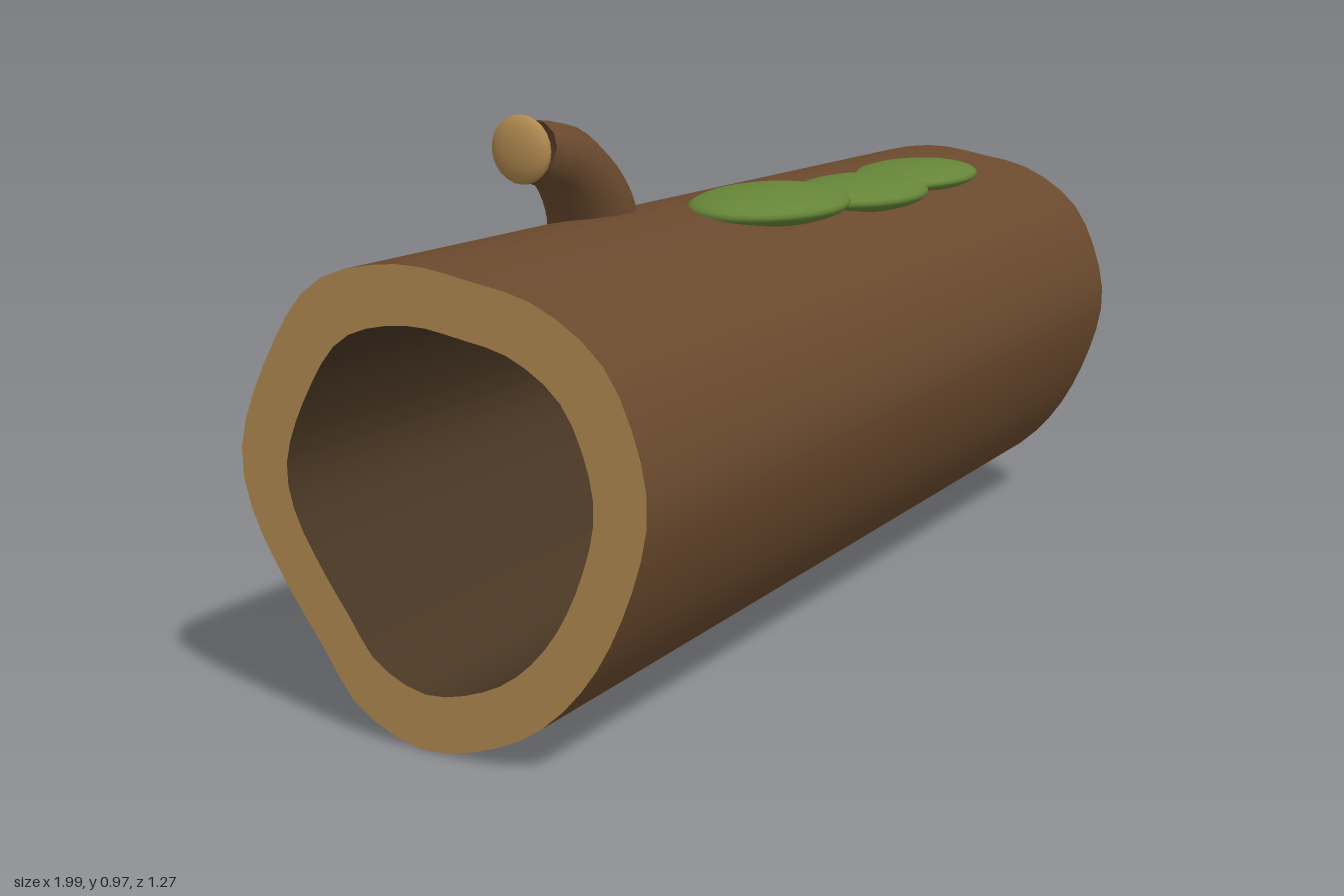
import * as THREE from 'three';

const mat = (color) => new THREE.MeshStandardMaterial({ color, roughness: 0.9 });
const TURN = 0.3; // the log lies turned about the vertical
const HALF = 0.925;
const SIDES = 48;

// Uneven cross-section of the trunk, unit size, counter-clockwise seen from +x
const outline = new THREE.CatmullRomCurve3([
  [1, 0.15], [0.83, 0.57], [0.58, 0.885], [0.16, 1], [-0.21, 0.965], [-0.505, 0.905],
  [-0.8, 0.715], [-0.95, 0.43], [-1, 0.15], [-0.9, -0.23], [-0.7, -0.59], [-0.41, -0.855],
  [0, -1], [0.19, -0.99], [0.44, -0.87], [0.6, -0.66], [0.78, -0.42], [0.96, -0.11],
].map(([u, v]) => new THREE.Vector3(0, v, -u)), true).getSpacedPoints(SIDES).slice(0, SIDES);

const ring = (x, r) => outline.map((p) => new THREE.Vector3(x, p.y * r, p.z * r));

// Skin between two rings of equal count
function loft(a, b) {
  const index = [];
  for (let i = 0; i < SIDES; i++) {
    const j = (i + 1) % SIDES;
    index.push(i, j, SIDES + i, j, SIDES + j, SIDES + i);
  }
  const g = new THREE.BufferGeometry().setFromPoints([...a, ...b]);
  g.setIndex(index);
  g.computeVertexNormals();
  return g;
}

// Tube whose radius runs from r0 to r1
function taperedTube(curve, r0, r1, steps, sides) {
  const g = new THREE.TubeGeometry(curve, steps, 1, sides);
  const pos = g.attributes.position;
  const v = new THREE.Vector3();
  for (let i = 0; i < pos.count; i++) {
    const t = Math.floor(i / (sides + 1)) / steps;
    const c = curve.getPointAt(t);
    v.fromBufferAttribute(pos, i).sub(c).multiplyScalar(r0 + (r1 - r0) * t).add(c);
    pos.setXYZ(i, v.x, v.y, v.z);
  }
  g.computeVertexNormals();
  // average the normals where the tube closes on itself
  const n = g.attributes.normal;
  const w = new THREE.Vector3();
  for (let k = 0; k <= steps; k++) {
    const a = k * (sides + 1), b = a + sides;
    v.fromBufferAttribute(n, a).add(w.fromBufferAttribute(n, b)).normalize();
    n.setXYZ(a, v.x, v.y, v.z);
    n.setXYZ(b, v.x, v.y, v.z);
  }
  return g;
}

export function createModel() {
  const model = new THREE.Group();
  model.name = 'hollowLog';
  const add = (parent, name, geometry, material) => {
    const mesh = new THREE.Mesh(geometry, material);
    mesh.name = name;
    parent.add(mesh);
    return mesh;
  };

  const bark = mat(0x6b4a2e);
  const cutWood = mat(0xb08850);
  const hollowWood = mat(0x4a3724);
  const moss = mat(0x668538);

  // Trunk: tapered bark, hollow inside, cut rim at each end
  const trunk = new THREE.Group();
  trunk.name = 'trunk';
  trunk.position.set(0, 0.396, -0.01);
  trunk.rotation.y = TURN;
  model.add(trunk);
  const outerL = ring(-HALF, 0.393), outerR = ring(HALF, 0.36);
  const innerL = ring(-HALF, 0.298), innerR = ring(HALF, 0.262);
  add(trunk, 'bark', loft(outerL, outerR), bark);
  add(trunk, 'hollow', loft(innerR, innerL), hollowWood);
  add(trunk, 'leftCutRim', loft(outerR, innerR), cutWood);
  add(trunk, 'rightCutRim', loft(innerL, outerL), cutWood);

  // Bent branch stub with a pale cut tip
  const path = new THREE.CatmullRomCurve3([
    new THREE.Vector3(-0.28, 0.68, -0.075),
    new THREE.Vector3(-0.335, 0.8, -0.035),
    new THREE.Vector3(-0.42, 0.88, 0.005),
    new THREE.Vector3(-0.515, 0.912, 0.04),
  ]);
  const branch = add(model, 'branchStub', taperedTube(path, 0.092, 0.052, 12, 12), bark);
  branch.material = bark.clone();
  branch.material.side = THREE.DoubleSide;
  const tip = add(model, 'branchTip', new THREE.SphereGeometry(1, 20, 12), cutWood);
  tip.scale.set(0.022, 0.059, 0.059);
  tip.position.set(-0.541, 0.916, 0.05);
  tip.rotation.y = TURN;

  // Moss cushions along the top: centre x, y, z, then half sizes
  [
    [0.005, 0.768, 0.072, 0.184, 0.034, 0.138],
    [0.285, 0.754, 0.024, 0.165, 0.032, 0.125],
    [0.557, 0.748, -0.09, 0.173, 0.028, 0.118],
  ].forEach(([x, y, z, a, h, b], i) => {
    const pad = add(model, `mossPatch${i + 1}`, new THREE.SphereGeometry(1, 28, 16), moss);
    pad.position.set(x, y, z);
    pad.scale.set(a, h, b);
    pad.rotation.y = TURN;
  });

  return model;
}
